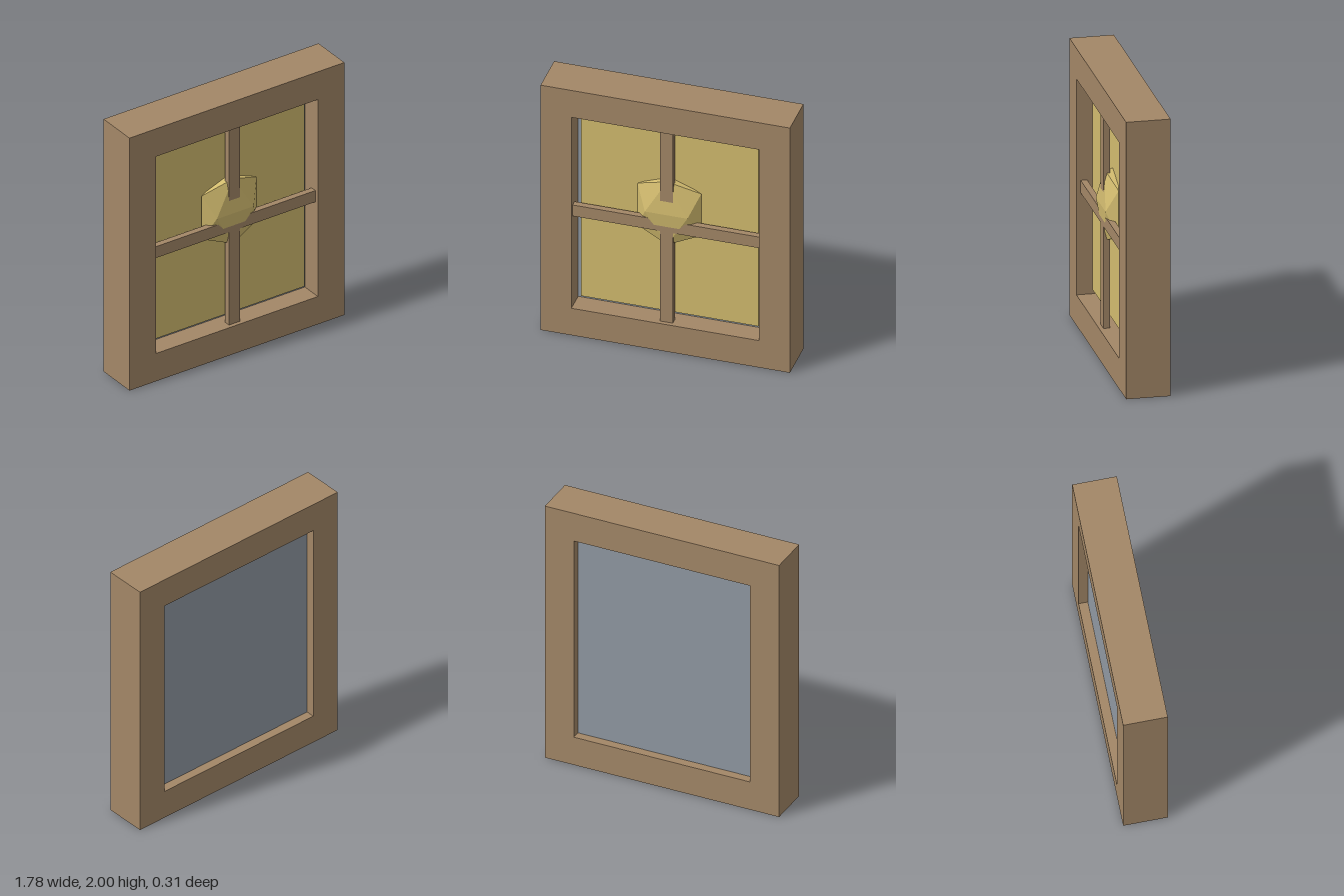
import * as THREE from 'three';
import { ConvexGeometry } from 'three/addons/geometries/ConvexGeometry.js';

export function createModel() {
  const model = new THREE.Group();
  model.name = 'window';

  const paint = (name, color) => {
    const m = new THREE.MeshStandardMaterial({ color });
    m.name = name;
    return m;
  };
  const wood = paint('wood', 0xa38767);
  const grey = paint('greyPane', 0x9099a3);
  const gold = paint('warmYellow', 0xd3bc6f);

  const add = (name, geometry, material, x = 0, y = 0, z = 0) => {
    const mesh = new THREE.Mesh(geometry, material);
    mesh.name = name;
    mesh.position.set(x, y, z);
    model.add(mesh);
    return mesh;
  };

  // Frame: a rectangle with a rectangular opening
  const rect = (Type, w, h) =>
    new Type([[-w, -h], [w, -h], [w, h], [-w, h]].map(([x, y]) => new THREE.Vector2(x, y)));
  const outline = rect(THREE.Shape, 0.89, 1);
  outline.holes.push(rect(THREE.Path, 0.67, 0.78));
  const depth = 0.31;
  add('frame', new THREE.ExtrudeGeometry(outline, { depth, bevelEnabled: false }), wood, 0, 1, -depth / 2);

  // Grey pane behind, with the smaller yellow panel in front of it
  add('backPane', new THREE.BoxGeometry(1.34, 1.56, 0.09), grey, 0, 1, -0.045);
  add('lightPanel', new THREE.BoxGeometry(1.265, 1.475, 0.05), gold, 0, 1, 0.025);

  // Crossed glazing bars
  add('verticalBar', new THREE.BoxGeometry(0.09, 1.56, 0.045), wood, 0, 1, 0.1025);
  add('horizontalBar', new THREE.BoxGeometry(1.34, 0.09, 0.045), wood, 0, 1, 0.1025);

  // Flattened twenty-sided lamp pushing through the bars
  const points = [];
  for (const a of [-1, 1]) {
    for (const b of [-1.5, 1.5]) {
      for (const [x, y, z] of [[a, 0, b], [0, b, a], [b, a, 0]]) {
        points.push(new THREE.Vector3(x * 0.152, y * 0.171, z * 0.05));
      }
    }
  }
  add('lamp', new ConvexGeometry(points), gold, 0, 1.1, 0.06);

  return model;
}
